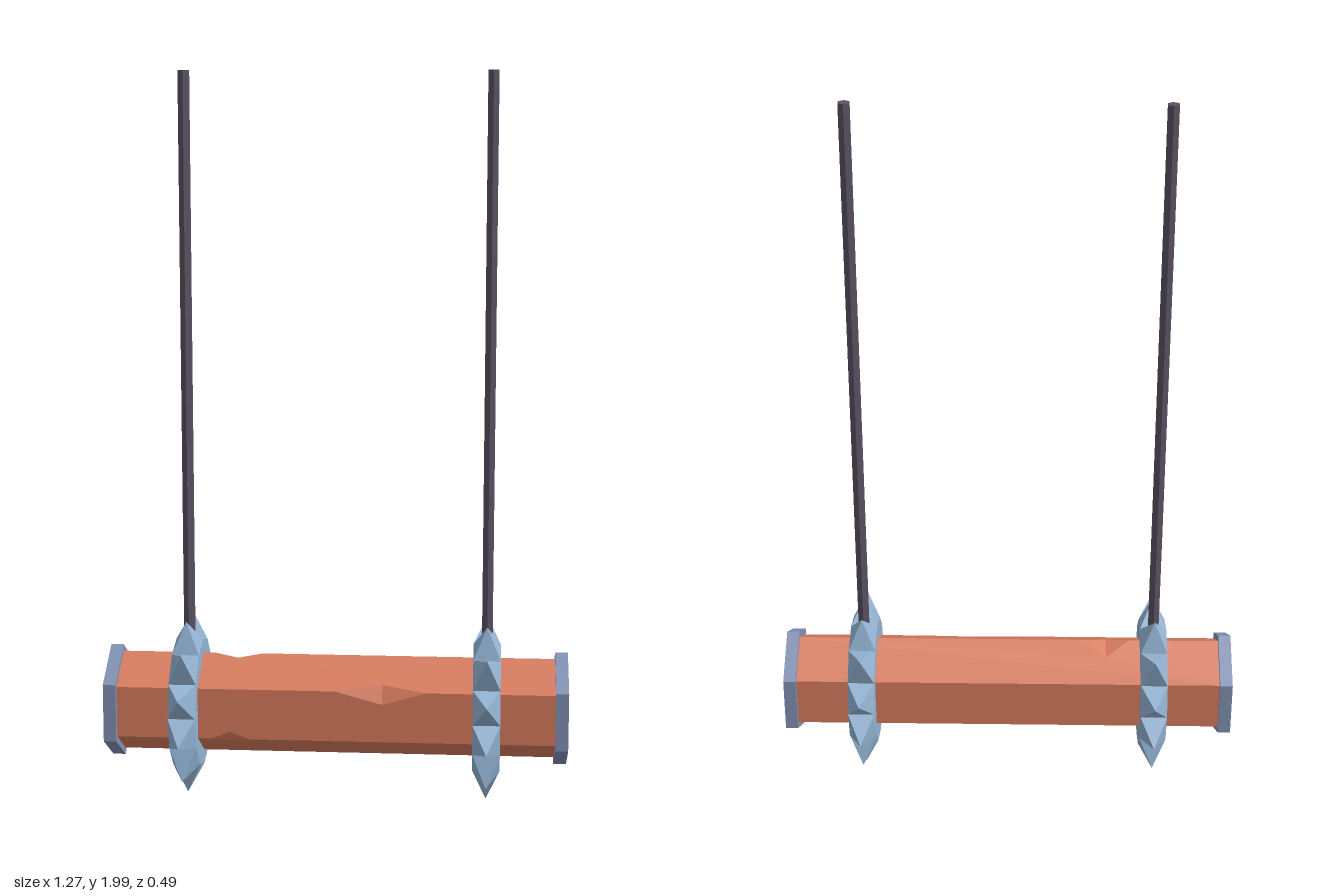
import * as THREE from 'three';

const AXIS_Y = 0.254;   // height of the log's axis
const RING_X = 0.415;   // distance of the spiked rings from the middle

// Point on a circle around the x axis; angle 0 is up, growing toward the front
const polar = (x, r, a) => new THREE.Vector3(x, r * Math.cos(a), r * Math.sin(a));

// Flat-shaded geometry from a flat list of triangle corners
function fromTriangles(points) {
  const g = new THREE.BufferGeometry().setFromPoints(points);
  g.computeVertexNormals();
  return g;
}

function flat(geometry) {
  const g = geometry.toNonIndexed();
  g.computeVertexNormals();
  return g;
}

// Hexagonal log with chips cut out of some of its long edges
function logGeometry(r, half) {
  // edge number, start, middle and end along x, depth into the faces before and after
  const chips = [
    { edge: 0, x0: -0.345, xm: -0.28, x1: -0.21, before: 0.4, after: 0.14 },
    { edge: 1, x0: 0.0, xm: 0.13, x1: 0.25, before: 0.2, after: 0.25 },
    { edge: 2, x0: -0.34, xm: -0.29, x1: -0.235, before: 0.14, after: 0.12 },
  ];
  const corner = (k, x) => polar(x, r, k * Math.PI / 3);
  const onFace = (k, t, x) => corner(k, x).lerp(corner(k + 1, x), t);
  const points = [];
  for (let k = 0; k < 6; k++) {
    const outline = [new THREE.Vector2(0, -half), new THREE.Vector2(1, -half)];
    for (const c of chips.filter((c) => c.edge === (k + 1) % 6)) {
      outline.push(new THREE.Vector2(1, c.x0), new THREE.Vector2(1 - c.before, c.xm), new THREE.Vector2(1, c.x1));
    }
    outline.push(new THREE.Vector2(1, half), new THREE.Vector2(0, half));
    for (const c of chips.filter((c) => c.edge === k)) {
      outline.push(new THREE.Vector2(0, c.x1), new THREE.Vector2(c.after, c.xm), new THREE.Vector2(0, c.x0));
    }
    for (const tri of THREE.ShapeUtils.triangulateShape(outline, [])) {
      for (const i of tri) points.push(onFace(k, outline[i].x, outline[i].y));
    }
    // end triangles
    const mid = (x) => new THREE.Vector3(x, 0, 0);
    points.push(mid(half), corner(k, half), corner(k + 1, half));
    points.push(mid(-half), corner(k + 1, -half), corner(k, -half));
  }
  // cut surfaces of the chips
  for (const c of chips) {
    const a = corner(c.edge, c.x0), b = corner(c.edge, c.x1);
    const p = onFace(c.edge - 1, 1 - c.before, c.xm);
    const q = onFace(c.edge, c.after, c.xm);
    points.push(a, q, p, b, p, q);
  }
  return fromTriangles(points);
}

// Twelve-sided band whose every outer face is drawn out to a point
function spikedRingGeometry(r, tip, w, count) {
  const points = [];
  const step = 2 * Math.PI / count;
  for (let i = 0; i < count; i++) {
    const a = i * step, b = a + step;
    const base = [polar(-w, r, a), polar(-w, r, b), polar(w, r, b), polar(w, r, a)];
    const top = polar(0, tip, a + step / 2);
    for (let j = 0; j < 4; j++) points.push(base[j], base[(j + 1) % 4], top);
    points.push(new THREE.Vector3(-w, 0, 0), base[1], base[0]);
    points.push(new THREE.Vector3(w, 0, 0), base[3], base[2]);
  }
  return fromTriangles(points);
}

export function createModel() {
  const wood = new THREE.MeshStandardMaterial({ color: 0xd87c5e });
  const capMetal = new THREE.MeshStandardMaterial({ color: 0x8392b5 });
  const spikeMetal = new THREE.MeshStandardMaterial({ color: 0x94b4d4 });
  const rodMetal = new THREE.MeshStandardMaterial({ color: 0x5a5162 });

  const model = new THREE.Group();
  model.name = 'hangingSpikedLog';
  const add = (name, geometry, material, x, y) => {
    const mesh = new THREE.Mesh(geometry, material);
    mesh.name = name;
    mesh.position.set(x, y, 0);
    model.add(mesh);
  };

  add('log', logGeometry(0.141, 0.61), wood, 0, AXIS_Y);

  const cap = flat(new THREE.CylinderGeometry(0.16, 0.16, 0.035, 6, 1, false, Math.PI / 6).rotateZ(Math.PI / 2));
  const ring = spikedRingGeometry(0.18, 0.252, 0.0375, 12);
  const rodBottom = AXIS_Y + 0.1;
  const rod = flat(new THREE.CylinderGeometry(0.017, 0.017, 2 - rodBottom, 6));

  for (const [side, s] of [['left', 1], ['right', -1]]) {
    add(side + 'EndCap', cap, capMetal, s * 0.62, AXIS_Y);
    add(side + 'SpikedRing', ring, spikeMetal, s * RING_X, AXIS_Y);
    add(side + 'HangingRod', rod, rodMetal, s * RING_X, (2 + rodBottom) / 2);
  }
  return model;
}
